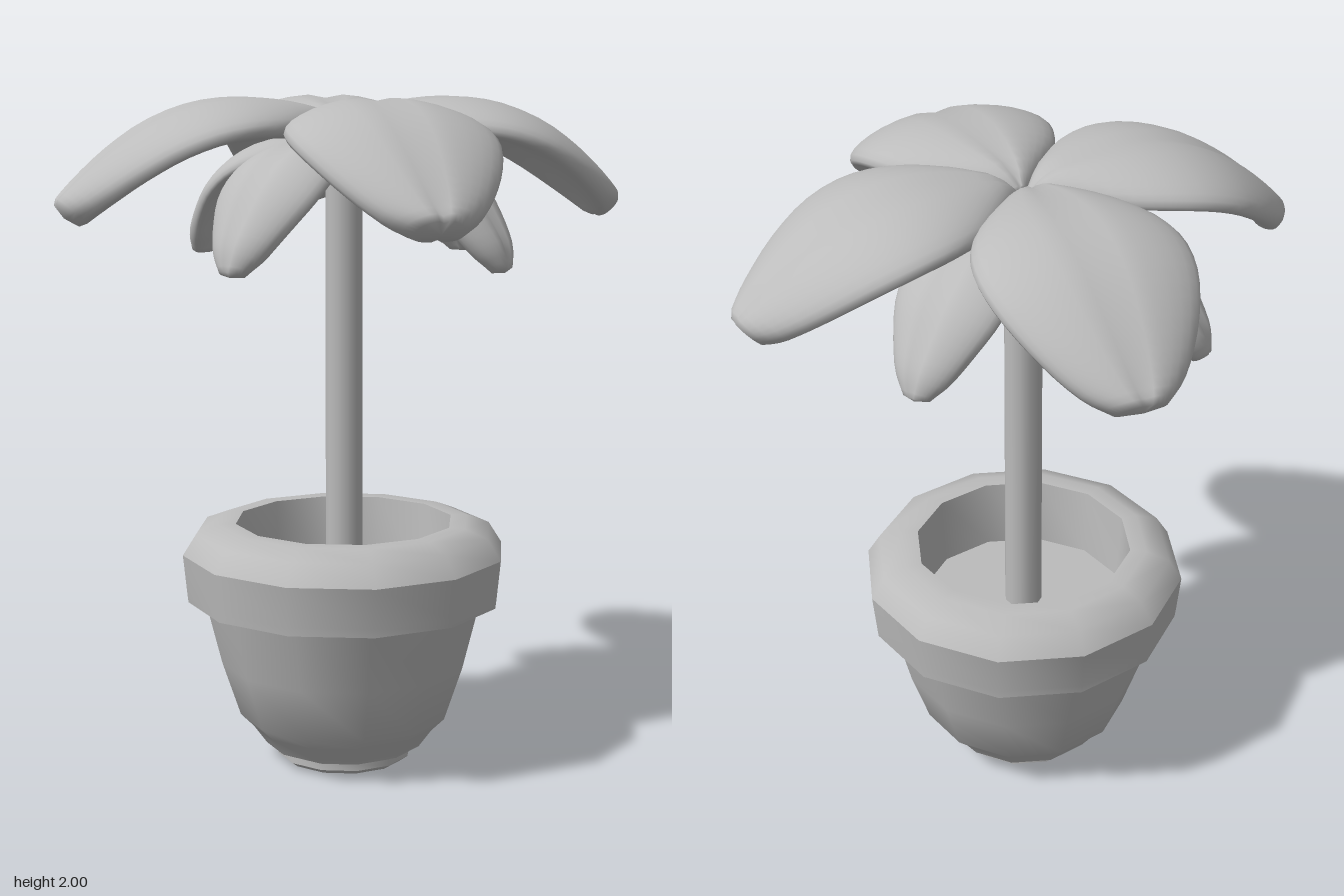
import * as THREE from 'three';
import { toCreasedNormals } from 'three/addons/utils/BufferGeometryUtils.js';

const clay = new THREE.MeshStandardMaterial({ color: 0xbcbcbc });
clay.name = 'clay grey';

function part(name, geometry) {
  const mesh = new THREE.Mesh(geometry, clay);
  mesh.name = name;
  return mesh;
}

// Twelve-sided turned part; profile runs up the outside
function turned(profile, crease) {
  const points = profile.map(([r, y]) => new THREE.Vector2(r, y));
  return toCreasedNormals(new THREE.LatheGeometry(points, 12), crease);
}

// Plump leaf along +z, swept from stations of [reach, height, half width]
function leafGeometry(stations, thick, droop) {
  const curve = new THREE.CatmullRomCurve3(stations.map((s) => new THREE.Vector3(...s)));
  const rings = 22, sides = 32, last = rings * sides;
  const pos = [], index = [];
  for (let i = 0; i <= rings; i++) {
    const t = i / rings;
    const p = curve.getPoint(t), d = curve.getTangent(t);
    const len = Math.hypot(d.x, d.y) || 1;
    const w = p.z;
    const h = thick * Math.min(1, 0.25 + w / 0.12);
    for (let j = 0; j < sides; j++) {
      const a = (j / sides) * Math.PI * 2;
      const u = Math.cos(a), s = Math.sin(a);
      // rounded section with a midrib groove on both faces and sagging edges
      const groove = Math.exp(-((u / 0.13) ** 2)) * h * 0.25;
      const lift = Math.sign(s) * h * Math.abs(s) ** 0.8 - groove * s - droop * w * u * u;
      pos.push(w * u, p.y + (lift * d.x) / len, p.x - (lift * d.y) / len);
    }
  }
  for (let i = 0; i < rings; i++) {
    for (let j = 0; j < sides; j++) {
      const k = (j + 1) % sides;
      const a = i * sides + j, b = i * sides + k;
      index.push(a, b, a + sides, b, b + sides, a + sides);
    }
  }
  // end caps
  const start = pos.length / 3, first = stations[0], end = stations.at(-1);
  pos.push(0, first[1], first[0], 0, end[1] - 0.008, end[0] + 0.006);
  for (let j = 0; j < sides; j++) {
    const k = (j + 1) % sides;
    index.push(start, k, j, start + 1, last + j, last + k);
  }
  const g = new THREE.BufferGeometry();
  g.setAttribute('position', new THREE.Float32BufferAttribute(pos, 3));
  g.setIndex(index);
  g.computeVertexNormals();
  return g;
}

function leafRing(name, geometry, degrees) {
  const group = new THREE.Group();
  group.name = name;
  for (const deg of degrees) {
    const leaf = part('leaf', geometry);
    leaf.rotation.y = THREE.MathUtils.degToRad(deg);
    group.add(leaf);
  }
  return group;
}

export function createModel() {
  const model = new THREE.Group();
  model.name = 'potted plant';

  // Pot: foot, bowl, collar with soft top and open mouth, soil floor
  model.add(part('potFoot', turned([[0, 0], [0.185, 0], [0.205, 0.015], [0.205, 0.035], [0.215, 0.05]], 0.55)));
  model.add(part('potBowl', turned(
    [[0.2, 0.045], [0.24, 0.05], [0.28, 0.105], [0.32, 0.145], [0.375, 0.31], [0.425, 0.51]], 0.75)));
  model.add(part('rimBand', turned([[0.41, 0.505], [0.475, 0.505], [0.478, 0.53], [0.49, 0.65]], 0.55)));
  model.add(part('rimTop', turned([[0.49, 0.65], [0.45, 0.713], [0.38, 0.74], [0.33, 0.74]], 0.9)));
  model.add(part('potMouth', turned([[0.33, 0.74], [0.315, 0.53]], 0.55)));
  model.add(part('soil', turned([[0.33, 0.53], [0, 0.53]], 0.55)));

  // Stem
  const stem = part('stem', new THREE.CylinderGeometry(0.055, 0.057, 1.36, 12));
  stem.position.y = 1.2;
  model.add(stem);

  // Broad upper leaves and short drooping lower leaves
  const broad = leafGeometry([
    [0.03, 1.895, 0.03], [0.12, 1.925, 0.13], [0.22, 1.944, 0.222], [0.33, 1.95, 0.276], [0.44, 1.935, 0.295],
    [0.55, 1.893, 0.283], [0.65, 1.828, 0.242], [0.73, 1.761, 0.187], [0.785, 1.708, 0.13], [0.818, 1.672, 0.07],
  ], 0.054, 0.15);
  const small = leafGeometry([
    [0.03, 1.8, 0.03], [0.12, 1.833, 0.09], [0.22, 1.84, 0.14], [0.32, 1.807, 0.166],
    [0.41, 1.738, 0.16], [0.48, 1.65, 0.122], [0.525, 1.575, 0.08], [0.546, 1.528, 0.04],
  ], 0.04, 0.2);
  model.add(leafRing('upperLeaves', broad, [7, 94, 180, 276]));
  model.add(leafRing('lowerLeaves', small, [44, 127, 224, 315]));

  return model;
}
